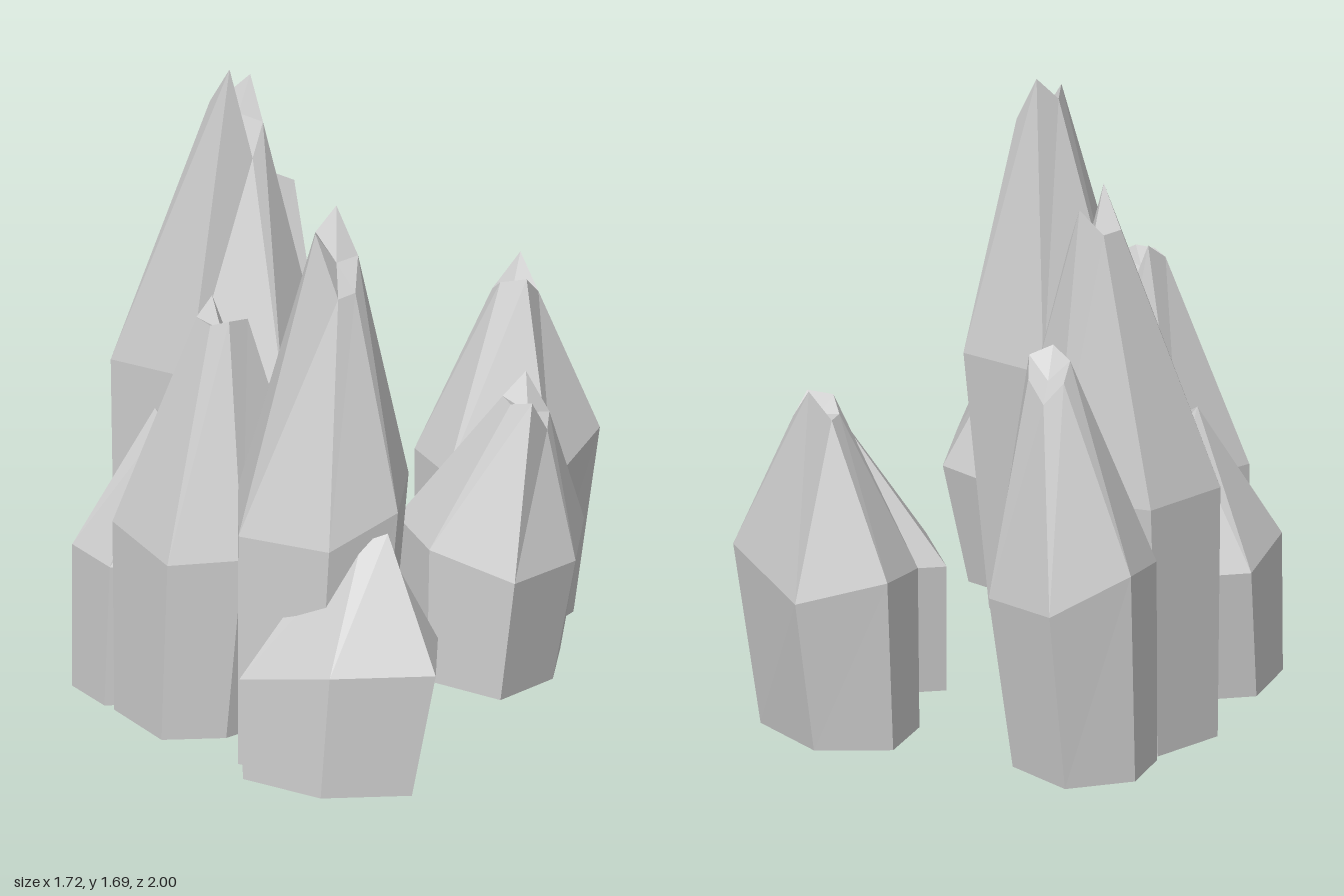
import * as THREE from 'three';

const stone = new THREE.MeshStandardMaterial({ color: 0xcccccc });
stone.name = 'light grey stone';
stone.flatShading = true;

// Average of a ring of points
function middle(ring) {
  return ring
    .reduce((sum, p) => sum.add(p), new THREE.Vector3())
    .divideScalar(ring.length);
}

// Six-sided crystal: tapered base, wide shoulder, jagged broken tip.
// corners: shoulder [x, z], clockwise from above; shoulderY and tipY: one height per corner
function crystal(name, corners, shoulderY, [tipX, tipZ], tipY) {
  const shoulder = corners.map(([x, z], i) => new THREE.Vector3(x, shoulderY[i], z));
  const c = middle(shoulder);
  const base = shoulder.map(p =>
    new THREE.Vector3(c.x + (p.x - c.x) * 0.86 - 0.045, 0, c.z + (p.z - c.z) * 0.86));
  const tip = shoulder.map((p, i) =>
    new THREE.Vector3(tipX + (p.x - c.x) * 0.25, tipY[i], tipZ + (p.z - c.z) * 0.25));
  const rings = [base, shoulder, tip];
  const baseMid = middle(base);
  const tipMid = middle(tip);
  tipMid.y -= 0.03;

  const points = [];
  const n = corners.length;
  for (let i = 0; i < n; i++) {
    const j = (i + 1) % n;
    // sides
    for (let r = 0; r < 2; r++) {
      const lo = rings[r], hi = rings[r + 1];
      points.push(lo[j], lo[i], hi[i], lo[j], hi[i], hi[j]);
    }
    // floor and broken top
    points.push(baseMid, base[i], base[j], tipMid, tip[j], tip[i]);
  }
  const geometry = new THREE.BufferGeometry().setFromPoints(points);
  geometry.computeVertexNormals();
  const mesh = new THREE.Mesh(geometry, stone);
  mesh.name = name;
  return mesh;
}

export function createModel() {
  const group = new THREE.Group();
  group.name = 'crystalCluster';
  group.add(
    // back pair
    crystal('backTallCrystal',
      [[-0.26, -0.8], [0.02, -0.86], [0.2, -0.62], [0.19, -0.375], [-0.06, -0.26], [-0.235, -0.47]],
      [0.78, 0.78, 0.78, 0.8, 0.81, 0.81],
      [0.035, -0.575], [1.57, 1.57, 1.64, 1.51, 1.42, 1.69]),
    crystal('backLowCrystal',
      [[0, -0.86], [0.18, -1], [0.42, -0.935], [0.445, -0.65], [0.28, -0.415], [0.04, -0.56]],
      [0.62, 0.65, 0.55, 0.53, 0.45, 0.55],
      [0.285, -0.72], [1.25, 1.2, 1.14, 1.2, 1.25, 1.28]),
    // pair on the +x side
    crystal('leftBackCrystal',
      [[0.43, -0.25], [0.63, -0.395], [0.855, -0.25], [0.855, 0.08], [0.59, 0.185], [0.36, -0.015]],
      [0.5, 0.535, 0.47, 0.56, 0.48, 0.5],
      [0.675, -0.1], [0.98, 0.98, 1.07, 0.97, 1.03, 1.02]),
    crystal('leftFrontCrystal',
      [[0.2, -0.05], [0.46, 0.06], [0.635, 0.275], [0.43, 0.485], [0.16, 0.535], [0.09, 0.23]],
      [0.4, 0.4, 0.385, 0.36, 0.365, 0.4],
      [0.42, 0.28], [0.8, 0.87, 0.75, 0.72, 0.82, 0.8]),
    // row on the -x side, back to front
    crystal('rightBackCrystal',
      [[-0.73, -0.405], [-0.51, -0.58], [-0.245, -0.475], [-0.26, -0.12], [-0.5, 0], [-0.77, -0.185]],
      [0.43, 0.4, 0.4, 0.4, 0.4, 0.43],
      [-0.45, -0.27], [0.83, 0.76, 0.8, 0.76, 0.72, 0.8]),
    crystal('rightMiddleCrystal',
      [[-0.76, -0.185], [-0.5, -0.215], [-0.335, -0.07], [-0.34, 0.24], [-0.645, 0.27], [-0.825, 0.145]],
      [0.57, 0.57, 0.55, 0.55, 0.55, 0.54],
      [-0.52, 0.02], [1.2, 1.25, 1.1, 1.2, 1.21, 1.2]),
    crystal('rightTallCrystal',
      [[-0.6, 0.195], [-0.33, 0.25], [-0.235, 0.53], [-0.44, 0.73], [-0.67, 0.695], [-0.785, 0.42]],
      [0.75, 0.8, 0.8, 0.78, 0.7, 0.7],
      [-0.465, 0.48], [1.57, 1.64, 1.5, 1.41, 1.4, 1.59]),
    crystal('rightFrontCrystal',
      [[-0.855, 0.51], [-0.62, 0.42], [-0.36, 0.55], [-0.31, 0.755], [-0.52, 1], [-0.775, 0.825]],
      [0.3, 0.35, 0.36, 0.37, 0.37, 0.37],
      [-0.5, 0.66], [0.7, 0.66, 0.65, 0.65, 0.73, 0.705]),
  );
  return group;
}
